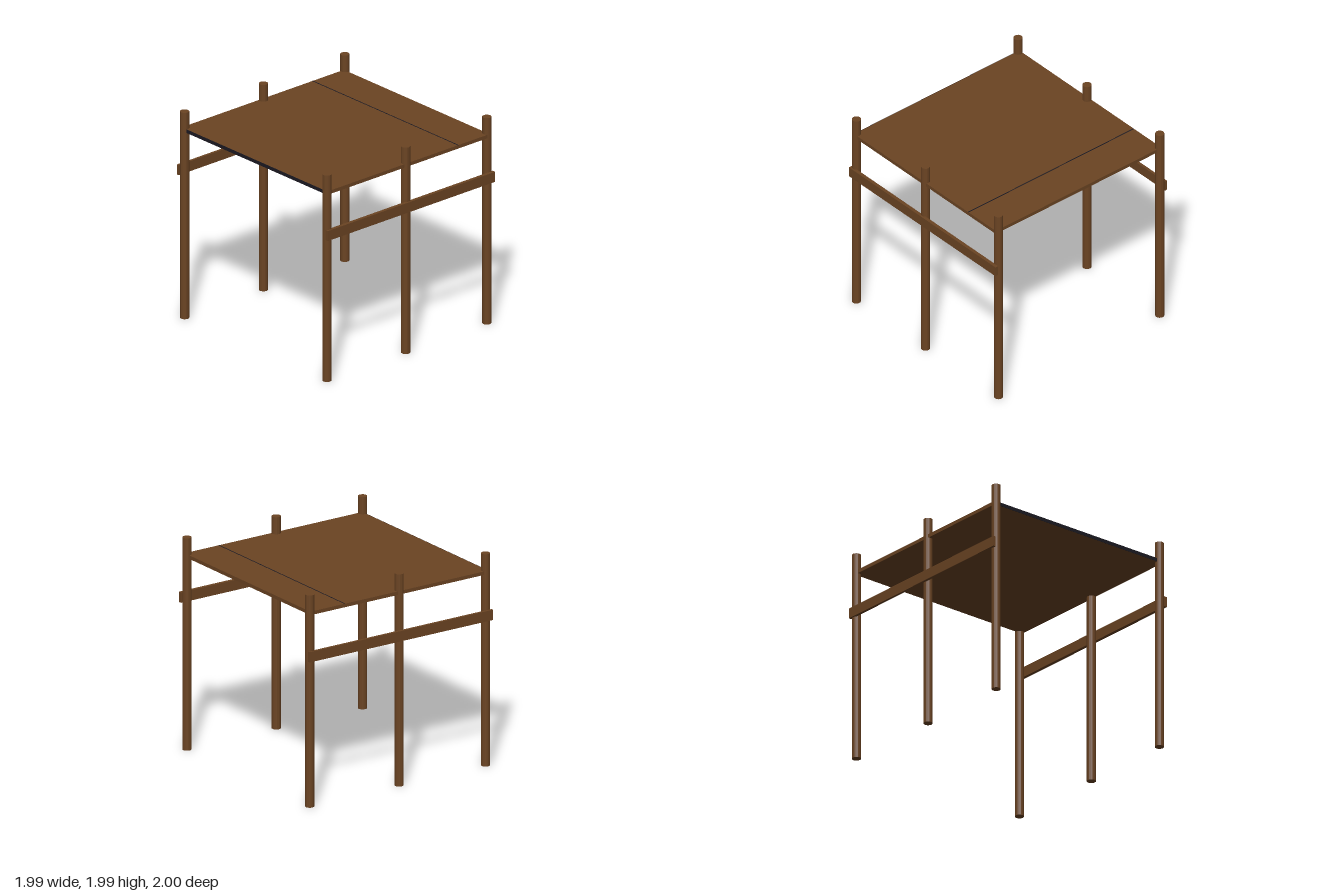
import * as THREE from 'three';

const wood = new THREE.MeshStandardMaterial({ color: 0x6b4423 });
wood.name = 'brown wood';
const dark = new THREE.MeshStandardMaterial({ color: 0x1c1a22 });
dark.name = 'dark seam';

// Box given by its extents along each axis
function slab(name, [x0, x1], [y0, y1], [z0, z1], material = wood) {
  const mesh = new THREE.Mesh(new THREE.BoxGeometry(x1 - x0, y1 - y0, z1 - z0), material);
  mesh.position.set((x0 + x1) / 2, (y0 + y1) / 2, (z0 + z1) / 2);
  mesh.name = name;
  return mesh;
}

export function createModel() {
  const model = new THREE.Group();
  model.name = 'postPlatform';

  // Six faceted round posts, slightly out of line
  const height = 1.985;
  const postGeometry = new THREE.CylinderGeometry(0.041, 0.041, height, 16).toNonIndexed();
  postGeometry.computeVertexNormals();
  const posts = [
    ['frontRightPost', -0.955, 0.945], ['frontMiddlePost', -0.02, 0.944], ['frontLeftPost', 0.954, 0.932],
    ['backRightPost', -0.955, -0.938], ['backMiddlePost', -0.02, -0.938], ['backLeftPost', 0.954, -0.948],
  ];
  for (const [name, x, z] of posts) {
    const post = new THREE.Mesh(postGeometry, wood);
    post.position.set(x, height / 2, z);
    post.name = name;
    model.add(post);
  }

  // Deck board between the posts, with a dark seam and a dark end
  const deckY = [1.792, 1.825], deckZ = [-0.963, 0.965];
  model.add(slab('deck', [-0.967, 0.957], deckY, deckZ));
  model.add(slab('deckSeam', [0.58, 0.59], [1.82, 1.826], deckZ, dark));
  model.add(slab('deckEnd', [-0.969, -0.966], deckY, deckZ, dark));

  // Side rails outside the posts
  model.add(slab('frontRail', [-0.993, 0.993], [1.367, 1.463], [0.968, 1]));
  model.add(slab('backRail', [-0.993, 0.993], [1.367, 1.463], [-1, -0.975]));

  return model;
}
